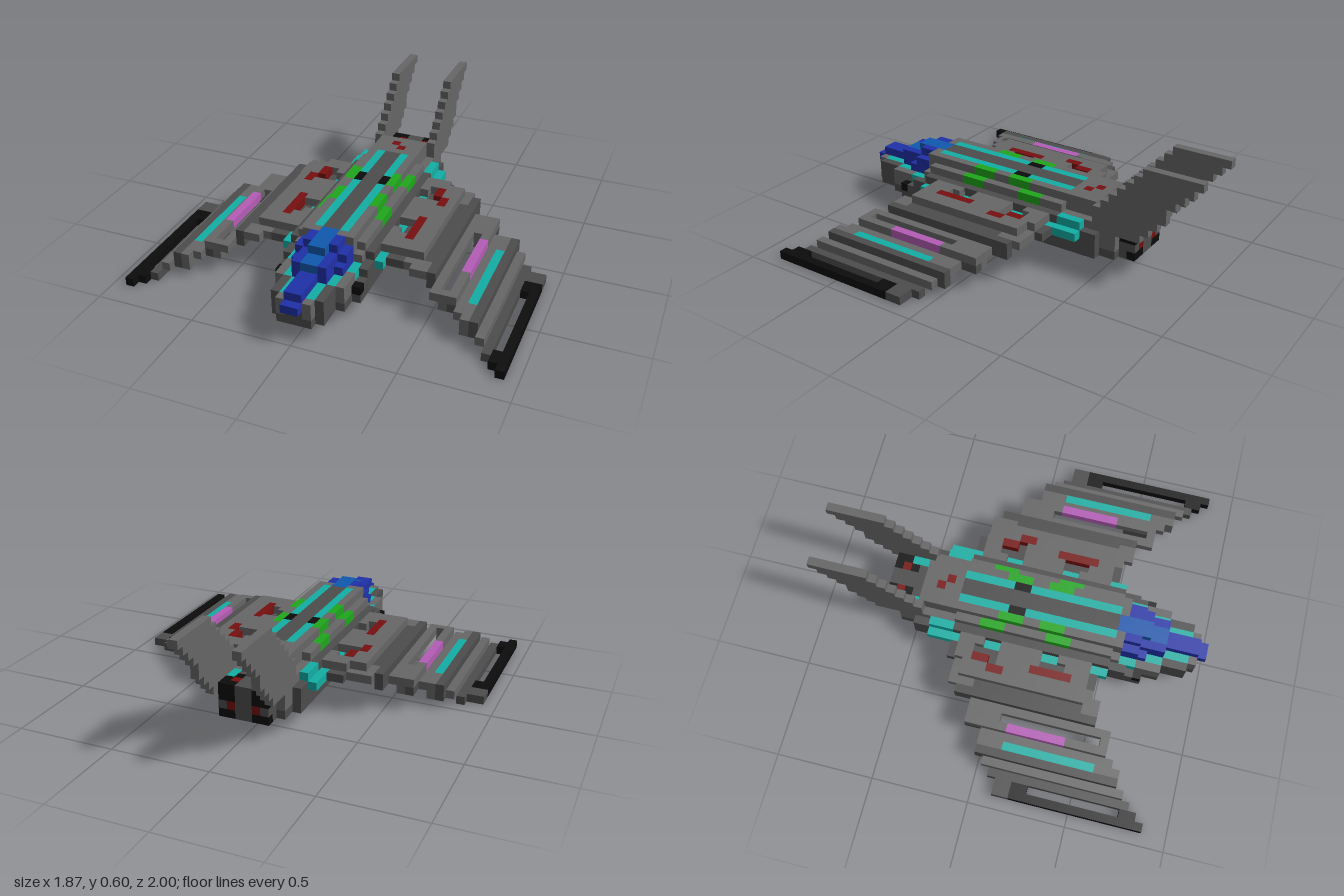
import * as THREE from 'three';
import { mergeGeometries } from 'three/addons/utils/BufferGeometryUtils.js';

const V = 2 / 47; // size of one block
const GRAY = 0x666666, DARK = 0x4c4c4c, BLACK = 0x0c0c0c, CYAN = 0x12aea4, PINK = 0xb35cb5,
  GREEN = 0x1fa61c, RED = 0x780f0f, BLUE = 0x2030a8, SKY = 0x1058ae;

export function createModel() {
  const cells = new Map();
  const key = (x, y, z) => `${x},${y},${z}`;

  // Fill blocks [x0,x1) [y0,y1) [z0,z1), mirrored; z counts from the tail. Later fills repaint.
  function fill(part, color, x0, x1, y0, y1, z0, z1) {
    for (let x = x0; x < x1; x++)
      for (let y = y0; y < y1; y++)
        for (let z = z0; z < z1; z++)
          for (const m of [x, -1 - x]) cells.set(key(m, y, z), { part, color, p: [m, y, z] });
  }
  function carve(x0, x1, y0, y1, z0, z1) {
    for (let x = x0; x < x1; x++)
      for (let y = y0; y < y1; y++)
        for (let z = z0; z < z1; z++)
          for (const m of [x, -1 - x]) cells.delete(key(m, y, z));
  }

  // Wing columns stepping down to the tip: [column, rear, front, bottom, top, colour]
  const wing = [
    [5, 14, 36, 4, 5, CYAN], [6, 17, 35, 4, 5, DARK], [7, 17, 35, 4, 5, DARK],
    [8, 18, 35, 4, 5, GRAY], [9, 18, 36, 4, 5, GRAY], [10, 18, 36, 4, 5, GRAY],
    [11, 19, 36, 3, 5, DARK], [12, 21, 38, 3, 4, GRAY], [13, 21, 38, 2, 4, GRAY],
    [14, 21, 38, 3, 4, GRAY], [15, 23, 39, 2, 3, GRAY], [16, 23, 40, 1, 3, GRAY],
    [17, 23, 40, 1, 3, DARK], [18, 24, 41, 1, 2, GRAY], [19, 25, 42, 0, 1, DARK],
  ];
  for (const [x, z0, z1, y0, y1, c] of wing) fill('wing', c, x, x + 1, y0, y1, z0, z1);
  carve(13, 14, 2, 4, 25, 37); // long slot
  fill('wing', DARK, 14, 15, 2, 3, 21, 25);
  fill('wing', DARK, 14, 15, 2, 3, 34, 38);
  fill('wing', DARK, 10, 11, 4, 5, 21, 34);
  fill('wingStripe', PINK, 14, 15, 3, 4, 26, 33);
  fill('wingStripe', CYAN, 16, 17, 2, 3, 26, 37);

  // Wing tip rails, open between rail and wing
  fill('tipRail', DARK, 20, 22, 0, 1, 26, 29);
  fill('tipRail', BLACK, 21, 22, 0, 1, 28, 44);
  fill('tipRail', BLACK, 20, 21, 0, 1, 28, 30);
  fill('tipRail', BLACK, 20, 21, 0, 1, 41, 43);

  // Raised deck over the wing root, with recessed bays
  fill('wingDeck', GRAY, 4, 8, 5, 6, 18, 34);
  fill('wingDeck', GRAY, 8, 10, 5, 6, 19, 34);
  fill('wingDeck', DARK, 4, 5, 5, 6, 14, 36);
  for (const [z0, z1] of [[20, 23], [28, 31]]) carve(6, 8, 5, 6, z0, z1);
  for (const [z0, z1] of [[21, 23], [28, 30], [34, 36]]) carve(5, 6, 5, 6, z0, z1);
  fill('deckMarking', RED, 7, 8, 5, 6, 20, 22);
  fill('deckMarking', RED, 8, 9, 5, 6, 22, 24);
  fill('deckMarking', RED, 7, 8, 5, 6, 27, 32);

  // Lower hull with a stepped pointed nose: [column, rear, front]
  for (const [x, z0, z1] of [[0, 8, 46], [1, 8, 46], [2, 8, 45], [3, 10, 42], [4, 12, 40]]) {
    const c = x % 2 ? GRAY : DARK;
    fill('hull', DARK, x, x + 1, 2, 3, z0, z1);
    fill('hull', c, x, x + 1, 3, 4, z0, z1);
    fill('hull', c, x, x + 1, 4, 5, z0, x === 4 ? 38 : z1);
  }
  fill('hull', GRAY, 0, 4, 5, 6, 12, 37);
  fill('hull', DARK, 0, 3, 5, 6, 8, 12);
  fill('noseVent', BLACK, 4, 5, 3, 4, 39, 40);
  fill('noseStripe', CYAN, 1, 2, 4, 5, 42, 45);
  fill('noseStripe', CYAN, 2, 3, 4, 5, 39, 42);
  fill('noseStripe', CYAN, 3, 4, 4, 5, 36, 39);
  fill('tailStripe', CYAN, 4, 5, 5, 6, 14, 17);

  // Spine along the top
  fill('spine', GRAY, 0, 4, 6, 7, 17, 36);
  fill('spine', GRAY, 0, 3, 6, 7, 13, 37);
  fill('spine', GRAY, 0, 3, 7, 8, 13, 37);
  fill('spine', DARK, 0, 1, 7, 8, 17, 37);
  fill('spineStripe', CYAN, 1, 2, 7, 8, 17, 36);
  fill('spineVent', BLACK, 1, 2, 7, 8, 23, 25);
  fill('spinePatch', GREEN, 2, 3, 7, 8, 27, 30);
  fill('spinePatch', GREEN, 3, 4, 6, 7, 28, 31);
  fill('spinePatch', GREEN, 2, 3, 7, 8, 22, 25);
  fill('spinePatch', GREEN, 3, 4, 6, 7, 20, 23);
  for (const [x, z] of [[-1, 14], [0, 15]])
    cells.set(key(x, 7, z), { part: 'spineMark', color: RED, p: [x, 7, z] });

  // Canopy stepping down to the nose
  fill('canopy', BLUE, 0, 1, 4, 5, 45, 47);
  fill('canopy', BLUE, 0, 1, 5, 6, 37, 46);
  fill('canopy', BLUE, 1, 2, 5, 6, 37, 42);
  fill('canopy', BLUE, 2, 3, 5, 6, 37, 40);
  fill('canopy', BLUE, 0, 2, 6, 7, 37, 42);
  fill('canopy', BLUE, 2, 3, 6, 7, 37, 39);
  fill('canopyGlass', SKY, 0, 1, 6, 7, 37, 42);
  fill('canopyGlass', SKY, 0, 1, 7, 8, 36, 40);
  fill('canopy', BLUE, 1, 2, 7, 8, 37, 39);

  // Engines at the tail
  fill('engine', BLACK, 1, 3, 4, 6, 8, 10);
  fill('engine', BLACK, 1, 2, 5, 6, 10, 11);
  fill('engine', BLACK, 1, 3, 2, 3, 8, 9);
  fill('engineGlow', RED, 1, 2, 5, 6, 9, 10);
  fill('engineGlow', RED, 1, 2, 3, 4, 8, 9);
  fill('tailStripe', CYAN, 2, 3, 5, 6, 10, 12);

  // Swept tail fins, one row of blocks per layer
  for (let y = 5; y < 14; y++)
    fill('tailFin', GRAY, 3, 4, y, y + 1, y > 8 ? 13 - y : 12 - y, y > 7 ? 20 - y : 13);

  // Turn the outer block faces into one mesh per part and colour
  const H = Math.PI / 2;
  const faces = [
    [0, 0, 1, 0, 0], [0, 0, -1, 0, 2 * H], [1, 0, 0, 0, H],
    [-1, 0, 0, 0, -H], [0, 1, 0, -H, 0], [0, -1, 0, H, 0],
  ].map(([x, y, z, rx, ry]) => ({
    d: [x, y, z],
    geo: new THREE.PlaneGeometry(V, V).rotateX(rx).rotateY(ry).translate(x * V / 2, y * V / 2, z * V / 2),
  }));
  const groups = new Map();
  for (const { part, color, p: [x, y, z] } of cells.values())
    for (const { d, geo } of faces) {
      if (cells.has(key(x + d[0], y + d[1], z + d[2]))) continue;
      const id = `${part}|${color}`;
      if (!groups.has(id)) groups.set(id, { part, color, geos: [] });
      groups.get(id).geos.push(
        geo.clone().translate((x + 0.5) * V, (y + 0.5) * V, (z + 0.5) * V - 1));
    }
  const model = new THREE.Group();
  model.name = 'blockSpaceship';
  for (const { part, color, geos } of groups.values()) {
    const mesh = new THREE.Mesh(mergeGeometries(geos), new THREE.MeshStandardMaterial({ color }));
    mesh.name = part;
    model.add(mesh);
  }
  return model;
}
